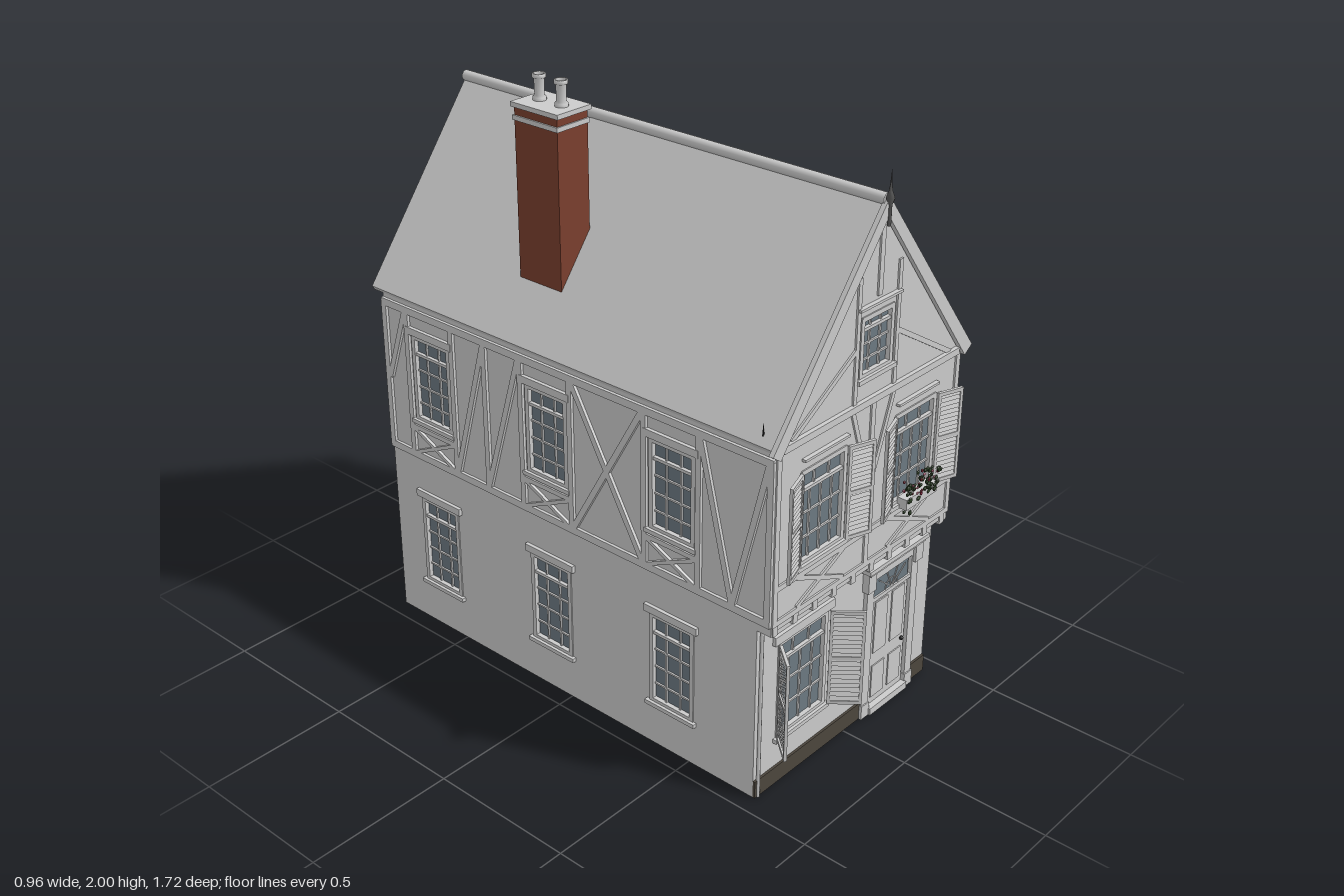
import * as THREE from 'three';

const mat = (color, side = THREE.FrontSide) => new THREE.MeshStandardMaterial({ color, side });
const GREY = mat(0xcccccc), GREY2 = mat(0xcccccc, THREE.DoubleSide);
const BRICK = mat(0x7a3f2e), GLASS = mat(0x6c7982, THREE.DoubleSide), PLINTH = mat(0x4c463d);
const FLOOR = mat(0x4a2c1b), DARK = mat(0x222222), CURTAIN = mat(0x3c5064);
const LEAF = mat(0x2f4227), PETALS = [mat(0x9c2f4a), mat(0xc9788f), mat(0x7a2230)];

function add(parent, name, geometry, material = GREY) {
  const mesh = new THREE.Mesh(geometry, material);
  mesh.name = name;
  parent.add(mesh);
  return mesh;
}

// Box given by its extents
function box(parent, name, x0, x1, y0, y1, z0, z1, material) {
  const m = add(parent, name, new THREE.BoxGeometry(x1 - x0, y1 - y0, z1 - z0), material);
  m.position.set((x0 + x1) / 2, (y0 + y1) / 2, (z0 + z1) / 2);
  return m;
}

// Straight timber between two points of a wall plane
function beam(parent, name, x1, y1, x2, y2, width, z, depth, material) {
  const m = add(parent, name, new THREE.BoxGeometry(Math.hypot(x2 - x1, y2 - y1), width, depth), material);
  m.position.set((x1 + x2) / 2, (y1 + y2) / 2, z + depth / 2);
  m.rotation.z = Math.atan2(y2 - y1, x2 - x1);
  return m;
}

// Extruded outline with rectangular openings [x0, x1, y0, y1]
function plate(parent, name, points, z, depth, holes = [], material = GREY2) {
  const shape = new THREE.Shape(points.map(p => new THREE.Vector2(...p)));
  for (const [x0, x1, y0, y1] of holes)
    shape.holes.push(new THREE.Path([[x0, y0], [x0, y1], [x1, y1], [x1, y0]].map(p => new THREE.Vector2(...p))));
  const m = add(parent, name, new THREE.ExtrudeGeometry(shape, { depth, bevelEnabled: false }), material);
  m.position.z = z;
  return m;
}

// Window with frame, glazing bars and a narrower transom row; z is the wall face
function addWindow(parent, name, [x0, x1, y0, y1], z, cols, rows) {
  const g = new THREE.Group();
  g.name = name;
  parent.add(g);
  const f = 0.011, top = y1 - (y1 - y0) * 0.21;
  box(g, 'glass', x0, x1, y0, y1, z - 0.014, z - 0.011, GLASS);
  for (const [a, b] of [[x0 - 0.004, x0 + f], [x1 - f, x1 + 0.004]]) box(g, 'frameSide', a, b, y0, y1, z - 0.02, z + 0.004);
  for (const [a, b] of [[y0 - 0.004, y0 + f], [y1 - f, y1 + 0.004]]) box(g, 'frameRail', x0, x1, a, b, z - 0.02, z + 0.004);
  box(g, 'transom', x0, x1, top - 0.005, top + 0.005, z - 0.016, z + 0.001);
  for (let i = 1; i < cols; i++) {
    const x = x0 + (x1 - x0) * i / cols;
    box(g, 'glazingBar', x - 0.003, x + 0.003, y0, top, z - 0.016, z - 0.005);
  }
  for (let i = 1; i < 3; i++) {
    const x = x0 + (x1 - x0) * i / 3;
    box(g, 'transomBar', x - 0.003, x + 0.003, top, y1, z - 0.016, z - 0.005);
  }
  for (let i = 1; i < rows; i++) {
    const y = y0 + (top - y0) * i / rows;
    box(g, 'glazingBar', x0, x1, y - 0.003, y + 0.003, z - 0.016, z - 0.005);
  }
  box(g, 'sill', x0 - 0.015, x1 + 0.015, y0 - 0.014, y0, z - 0.005, z + 0.014);
  return g;
}

// Louvred shutter hinged at x, swinging away from the window (dir = +-1)
function addShutter(parent, x, y0, y1, z, dir, width, angle) {
  const g = new THREE.Group();
  g.name = 'shutter';
  g.position.set(x, 0, z);
  g.rotation.y = -dir * angle;
  parent.add(g);
  const span = (a, b) => dir > 0 ? [a, b] : [-b, -a];
  for (const s of [span(0, 0.01), span(width - 0.01, width)]) box(g, 'stile', ...s, y0, y1, 0, 0.01);
  for (const y of [y0, (y0 + y1) / 2 - 0.006, y1 - 0.012]) box(g, 'rail', ...span(0, width), y, y + 0.012, 0, 0.01);
  const n = 20;
  for (let i = 0; i < n; i++) {
    const y = y0 + 0.012 + (y1 - y0 - 0.02) * i / n;
    box(g, 'slat', ...span(0.008, width - 0.008), y, y + 0.016, 0.003, 0.006).rotation.x = -0.3;
  }
}

export function createModel() {
  const house = new THREE.Group();
  house.name = 'house';

  // Window openings
  const lower = [-0.335, -0.105, 0.165, 0.505], gable = [-0.075, 0.075, 1.285, 1.47];
  const uppers = [[-0.325, -0.12, 0.785, 1.09], [0.12, 0.325, 0.785, 1.09]];
  const sides = [0.43, -0.08, -0.6];
  const sideHoles = sides.flatMap(c => [[c - 0.085, c + 0.085, 0.16, 0.48], [c - 0.085, c + 0.085, 0.78, 1.08]]);

  // Front, jetty and back walls
  const F = 0.755, U = 0.805;
  plate(house, 'lowerFrontWall', [[-0.44, 0], [0.44, 0], [0.44, 0.6], [-0.44, 0.6]], F - 0.02, 0.02, [lower]);
  const gableOutline = y => [[-0.44, y], [0.44, y], [0.44, 1.19], [0, 1.77], [-0.44, 1.19]];
  plate(house, 'upperFrontWall', gableOutline(0.622), U - 0.02, 0.02, [...uppers, gable]);
  plate(house, 'backWall', gableOutline(0), -0.82, 0.015);
  box(house, 'jettySoffit', -0.44, 0.44, 0.61, 0.625, F - 0.02, U);
  for (let i = 0; i < 10; i++) {
    const x = -0.43 + i * 0.0925;
    box(house, 'joistEnd', x - 0.005, x + 0.018, 0.598, 0.63, F - 0.01, U + 0.004);
  }

  // Side walls: local x is the depth axis, local z points to the model's right
  const side = new THREE.Group();
  side.name = 'sideWalls';
  side.rotation.y = -Math.PI / 2;
  house.add(side);
  const sideOutline = [[-0.82, 0], [F, 0], [F, 0.6], [U, 0.6], [U, 1.19], [-0.82, 1.19]];
  plate(side, 'timberedWall', sideOutline, 0.425, 0.015, sideHoles);
  plate(side, 'plainWall', sideOutline, -0.44, 0.015);

  // Side windows with small closed rooms behind them
  const roomMats = [mat(0x98a5ab), mat(0x93a287), mat(0xb39c8c)];
  sideHoles.forEach((h, i) => {
    addWindow(side, 'sideWindow', h, 0.44, 3, 4);
    box(side, 'lintel', h[0] - 0.02, h[1] + 0.02, h[3] + 0.005, h[3] + 0.03, 0.435, 0.452);
    box(side, 'room', h[0] - 0.06, h[1] + 0.06, h[2] - 0.06, h[3] + 0.07, 0.29, 0.424, roomMats[i >> 1]);
    box(side, 'roomFloor', h[0] - 0.06, h[1] + 0.06, h[2] - 0.07, h[2] - 0.06, 0.29, 0.424, FLOOR);
  });

  // Half timbering on the side
  const T = 0.438, D = 0.012;
  const st = (x1, y1, x2, y2, w = 0.02) => beam(side, 'sideTimber', x1, y1, x2, y2, w, T, D);
  for (const y of [0.645, 1.165]) st(-0.82, y, U, y, 0.025);
  for (const x of [-0.81, 0.795]) st(x, 0.64, x, 1.17, 0.022);
  for (const c of sides) {
    for (const d of [-0.105, 0.105]) st(c + d, 0.645, c + d, 1.165);
    st(c - 0.1, 0.75, c + 0.1, 0.75, 0.016);
    st(c - 0.1, 0.65, c + 0.1, 0.745, 0.012);
    st(c - 0.1, 0.745, c + 0.1, 0.65, 0.012);
  }
  st(-0.49, 0.65, -0.345, 1.16);
  st(-0.345, 0.65, -0.19, 1.16);
  st(-0.345, 0.645, -0.345, 1.165);
  st(0.03, 0.65, 0.32, 1.16);
  st(0.03, 1.16, 0.32, 0.65);
  st(0.54, 1.16, 0.665, 0.65);
  st(0.665, 0.65, 0.79, 1.16);
  st(-0.8, 0.9, -0.71, 1.16);

  // Front windows, curtain strips and shutters
  addWindow(house, 'lowerWindow', lower, F, 4, 3);
  addWindow(house, 'gableWindow', gable, U, 3, 3);
  box(house, 'lowerLintel', -0.365, -0.08, 0.51, 0.54, F - 0.005, F + 0.012);
  box(house, 'gableDrip', -0.1, 0.1, 1.5, 1.508, U, U + 0.015);
  for (let i = 0; i < 10; i++) {
    const x = lower[0] + 0.012 + i * 0.022;
    box(house, 'curtainFold', x, x + 0.011, 0.17, 0.5, F - 0.03, F - 0.02, CURTAIN);
  }
  for (const w of uppers) {
    addWindow(house, 'upperWindow', w, U, 4, 3);
    box(house, 'upperDrip', w[0], w[1], 1.125, 1.133, U, U + 0.014);
    addShutter(house, w[0] - 0.006, 0.78, 1.09, U + 0.003, -1, 0.092, 0.33);
    addShutter(house, w[1] + 0.006, 0.78, 1.09, U + 0.003, 1, 0.092, 0.33);
  }
  addShutter(house, lower[0] - 0.008, 0.165, 0.505, F + 0.008, -1, 0.108, 0.87);
  addShutter(house, lower[1] + 0.008, 0.165, 0.505, F + 0.008, 1, 0.108, 0.87);

  // Shallow timbering on the upper front and gable
  const ft = (x1, y1, x2, y2, w = 0.02) => beam(house, 'frontTimber', x1, y1, x2, y2, w, U - 0.002, 0.008);
  for (const y of [0.64, 0.755]) ft(-0.44, y, 0.44, y, 0.018);
  for (const x of [-0.43, 0, 0.43]) ft(x, 0.635, x, 1.2);
  for (const s of [-1, 1]) {
    ft(s * 0.11, 0.65, s * 0.33, 0.75, 0.014);
    ft(s * 0.11, 0.75, s * 0.33, 0.65, 0.014);
    ft(s * 0.01, 0.93, s * 0.1, 1.19, 0.016);
    ft(s * 0.095, 1.21, s * 0.095, 1.6, 0.016);
    ft(s * 0.38, 1.21, s * 0.1, 1.38, 0.016);
  }
  ft(0, 1.52, 0, 1.74);
  box(house, 'gableBeam', -0.42, 0.42, 1.19, 1.212, U - 0.005, U + 0.014);

  // Plinth and corner downpipe
  box(house, 'plinth', -0.44, 0.085, 0, 0.06, F - 0.005, F + 0.008, PLINTH);
  box(house, 'plinth', 0.36, 0.44, 0, 0.06, F - 0.005, F + 0.008, PLINTH);
  const pipe = add(house, 'downpipe', new THREE.CylinderGeometry(0.006, 0.006, 0.6, 8));
  pipe.position.set(-0.425, 0.3, F + 0.008);

  // Door with surround, fanlight and panels
  const door = new THREE.Group();
  door.name = 'door';
  house.add(door);
  for (const s of [-1, 1]) {
    const at = (a, b) => s > 0 ? [0.22 + a, 0.22 + b] : [0.22 - b, 0.22 - a];
    box(door, 'pilaster', ...at(0.1, 0.135), 0, 0.545, F - 0.005, F + 0.014);
    box(door, 'pilasterBase', ...at(0.097, 0.138), 0, 0.05, F - 0.005, F + 0.018);
    box(door, 'bracket', ...at(0.105, 0.145), 0.48, 0.545, F, F + 0.024);
    for (const [y0, y1] of [[0.05, 0.17], [0.22, 0.41]]) box(door, 'doorPanel', ...at(0.012, 0.078), y0, y1, F, F + 0.008);
    beam(door, 'fanlightBar', 0.22, 0.437, 0.22 + s * 0.07, 0.49, 0.004, F + 0.008, 0.003);
    beam(door, 'fanlightBar', 0.22, 0.437, 0.22 + s * 0.028, 0.5, 0.004, F + 0.008, 0.003);
  }
  box(door, 'doorLeaf', 0.125, 0.315, 0.025, 0.425, F - 0.005, F + 0.004);
  box(door, 'doorstep', 0.12, 0.32, 0, 0.025, F, F + 0.025);
  box(door, 'fanlight', 0.13, 0.31, 0.437, 0.503, F, F + 0.006, GLASS);
  box(door, 'transom', 0.12, 0.32, 0.423, 0.437, F, F + 0.012);
  box(door, 'frieze', 0.085, 0.355, 0.505, 0.548, F, F + 0.014);
  box(door, 'cornice', 0.075, 0.365, 0.545, 0.558, F, F + 0.03);
  box(door, 'corniceTop', 0.063, 0.377, 0.556, 0.57, F, F + 0.036);
  const fan = add(door, 'fanlightArch', new THREE.TorusGeometry(0.032, 0.002, 6, 16, Math.PI));
  fan.position.set(0.22, 0.438, F + 0.008);
  add(door, 'knob', new THREE.SphereGeometry(0.007, 10, 8), DARK).position.set(0.292, 0.205, F + 0.012);

  // Flower box
  let seed = 7;
  const rnd = () => (seed = (seed * 16807) % 2147483647) / 2147483647;
  box(house, 'flowerBox', 0.15, 0.31, 0.772, 0.808, U + 0.005, U + 0.04);
  for (let i = 0; i < 90; i++) {
    const flower = i % 3 === 0, r = flower ? 0.006 : 0.008;
    const p = add(house, flower ? 'blossom' : 'leaf', new THREE.IcosahedronGeometry(r, 0), flower ? PETALS[i / 3 % 3] : LEAF);
    p.position.set(0.15 + rnd() * 0.165, 0.79 + rnd() * 0.075 - (i % 5 === 0 ? 0.025 : 0), U + 0.018 + rnd() * 0.035);
    p.scale.set(1, 0.5 + rnd(), 0.6);
    p.rotation.z = rnd() * 3;
  }

  // Roof, ridge, bargeboards and finial
  plate(house, 'roof', [[-0.45, 1.205], [-0.44, 1.19], [0, 1.77], [0.44, 1.19], [0.45, 1.205], [0, 1.802]], -0.86, 1.675);
  const ridge = add(house, 'ridge', new THREE.CylinderGeometry(0.018, 0.018, 1.675, 10));
  ridge.rotation.x = Math.PI / 2;
  ridge.position.set(0, 1.806, -0.0225);
  for (const s of [-1, 1]) {
    plate(house, 'bargeboard', [[s * 0.478, 1.205], [0, 1.815], [0, 1.757], [s * 0.443, 1.18]], 0.808, 0.016);
    add(house, 'eaveHook', new THREE.ConeGeometry(0.005, 0.06, 6), DARK).position.set(s * 0.43, 1.24, 0.75);
  }
  const finial = new THREE.LatheGeometry([[0.006, 1.73], [0.006, 1.79], [0.013, 1.81], [0.006, 1.83], [0.003, 1.85], [0, 1.895]]
    .map(p => new THREE.Vector2(...p)), 10);
  add(house, 'finial', finial, mat(0x555555, THREE.DoubleSide)).position.z = 0.824;

  // Chimney with two pots
  const chimney = new THREE.Group();
  chimney.name = 'chimney';
  chimney.position.set(-0.267, 0, -0.2);
  house.add(chimney);
  box(chimney, 'stack', -0.063, 0.063, 1.34, 1.905, -0.088, 0.088, BRICK);
  box(chimney, 'band', -0.068, 0.068, 1.865, 1.88, -0.093, 0.093);
  box(chimney, 'cap', -0.07, 0.07, 1.905, 1.92, -0.097, 0.097);
  const potProfile = [[0.021, 1.918], [0.021, 1.93], [0.015, 1.935], [0.016, 1.985], [0.021, 1.988], [0.021, 2], [0.015, 2], [0.013, 1.94], [0, 1.94]];
  for (const z of [-0.045, 0.045]) {
    add(chimney, 'pot', new THREE.LatheGeometry(potProfile.map(p => new THREE.Vector2(...p)), 14), GREY2).position.z = z;
    const hole = add(chimney, 'flue', new THREE.CircleGeometry(0.015, 14), DARK);
    hole.rotation.x = -Math.PI / 2;
    hole.position.set(0, 1.99, z);
  }
  return house;
}
